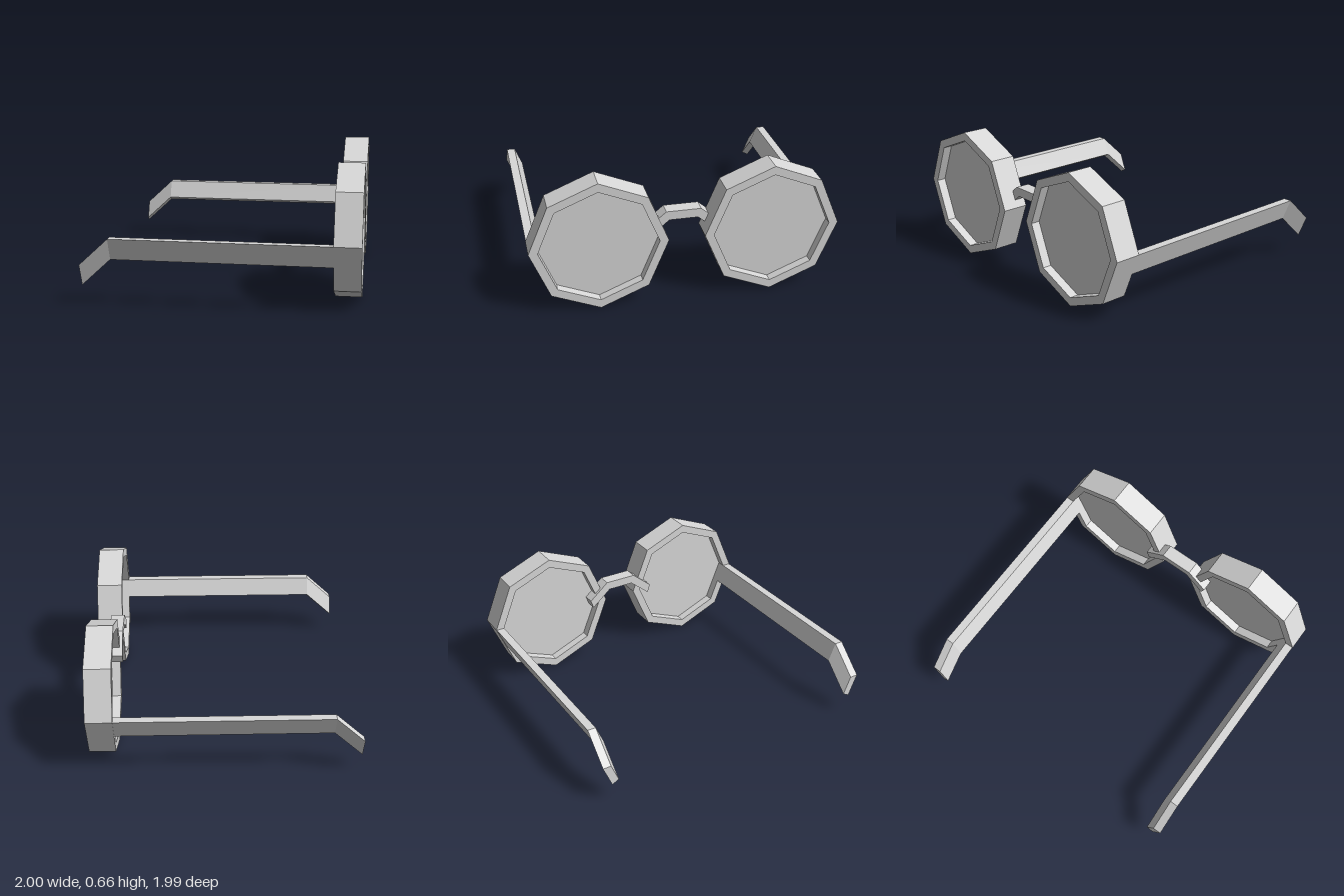
import * as THREE from 'three';

const frameGrey = new THREE.MeshStandardMaterial({ color: 0xd8d8d8 });
frameGrey.name = 'frameGrey';

const LENS_X = 0.42, LENS_Y = 0.33, RIM_R = 0.332, HOLE_R = 0.288;
const BACK = 0.53, FRONT = 0.66;

// Octagon with a corner pointing straight up, counter-clockwise
function octagon(radius) {
  return Array.from({ length: 8 }, (_, i) => new THREE.Vector2(
    -radius * Math.sin(i * Math.PI / 4), radius * Math.cos(i * Math.PI / 4)));
}

function extrude(points, depth, hole) {
  const shape = new THREE.Shape(points);
  if (hole) shape.holes.push(new THREE.Path(hole));
  return new THREE.ExtrudeGeometry(shape, { depth, bevelEnabled: false });
}

function addMesh(parent, name, geometry) {
  const mesh = new THREE.Mesh(geometry, frameGrey);
  mesh.name = name;
  parent.add(mesh);
  return mesh;
}

// Side arm: bent profile, leaning inward to follow the rim's lower outer edge
function templeGeometry(side) {
  const bend = -0.52, tip = -0.66, drop = 0.13, height = 0.11, thick = 0.042;
  const topAt = z => LENS_Y - drop * Math.max(0, (bend - z) / (bend - tip));
  const zs = [BACK, bend, tip];
  const profile = [
    ...zs.map(z => new THREE.Vector2(z, topAt(z))),
    ...zs.slice().reverse().map(z => new THREE.Vector2(z, topAt(z) - height))
  ];
  const geo = extrude(profile, thick);
  geo.rotateY(-Math.PI / 2);
  geo.translate(side > 0 ? 0.75 : -0.75 + thick, 0, 0);
  const pos = geo.attributes.position;
  for (let i = 0; i < pos.count; i++) {
    let below = topAt(pos.getZ(i)) - pos.getY(i);
    // The underside is square to the leaning sides, so its inner edge is higher
    if (below > height / 2 && Math.abs(pos.getX(i)) < 0.73) below -= 0.018;
    pos.setY(i, topAt(pos.getZ(i)) - below);
    pos.setX(i, pos.getX(i) - side * below * 0.414);
  }
  geo.computeVertexNormals();
  return geo;
}

// Nose bridge: flat-topped arch, mirrored about the middle
function bridgeGeometry() {
  const half = [[0.085, 0.44], [0.19, 0.352], [0.175, 0.307], [0.07, 0.395]];
  const outline = [...half, ...half.map(([x, y]) => [-x, y]).reverse()];
  return extrude(outline.map(p => new THREE.Vector2(...p)), 0.07).translate(0, 0, 0.515);
}

export function createModel() {
  const model = new THREE.Group();
  model.name = 'sunglasses';
  const body = new THREE.Group();
  body.name = 'eyewear';
  body.rotation.y = THREE.MathUtils.degToRad(44);
  model.add(body);

  for (const side of [-1, 1]) {
    const label = side > 0 ? 'left' : 'right';
    // Deep octagonal rim
    addMesh(body, label + 'Rim', extrude(octagon(RIM_R), FRONT - BACK, octagon(HOLE_R)))
      .position.set(side * LENS_X, LENS_Y, BACK);
    // Recessed lens
    addMesh(body, label + 'Lens', extrude(octagon(HOLE_R), 0.04))
      .position.set(side * LENS_X, LENS_Y, 0.575);
    addMesh(body, label + 'Temple', templeGeometry(side));
  }
  addMesh(body, 'bridge', bridgeGeometry());
  return model;
}
